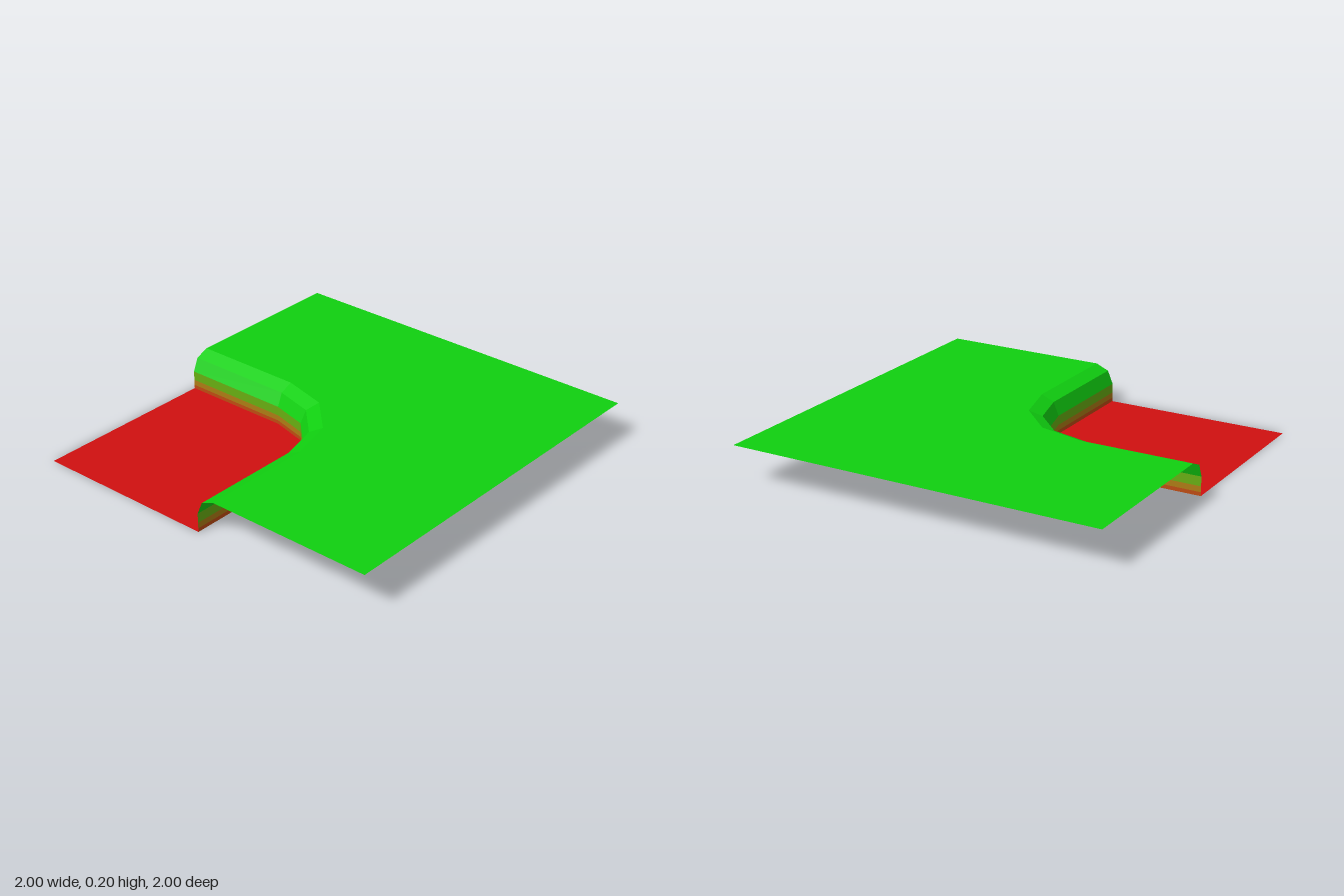
import * as THREE from 'three';

const flat = (name, color) =>
  new THREE.MeshStandardMaterial({ name, color, side: THREE.DoubleSide });

// Rounded corner line of the bank, moved outward by d: [x, z] points
function outline(d) {
  const points = [[-1, -d]];
  for (let i = 0; i <= 3; i++) {
    const a = (i * Math.PI) / 6, r = 0.4 + d;
    points.push([-0.4 + r * Math.sin(a), 0.4 - r * Math.cos(a)]);
  }
  points.push([d, 1]);
  return points;
}

// Level sheet bounded by [x, z] points
function sheet(points, y) {
  const shape = new THREE.Shape(points.map(([x, z]) => new THREE.Vector2(x, -z)));
  return new THREE.ShapeGeometry(shape).rotateX(-Math.PI / 2).translate(0, y, 0);
}

// Faceted strip along the bank between two profile points [offset, height]
function strip([d0, y0], [d1, y1]) {
  const low = outline(d0).map(([x, z]) => [x, y0, z]);
  const high = outline(d1).map(([x, z]) => [x, y1, z]);
  const positions = [];
  for (let i = 0; i < low.length - 1; i++) {
    positions.push(...low[i], ...low[i + 1], ...high[i + 1]);
    positions.push(...low[i], ...high[i + 1], ...high[i]);
  }
  const geometry = new THREE.BufferGeometry();
  geometry.setAttribute('position', new THREE.Float32BufferAttribute(positions, 3));
  geometry.computeVertexNormals();
  return geometry;
}

export function createModel() {
  const group = new THREE.Group();
  const red = flat('red', 0xd01010);
  const rust = flat('rust', 0xbe4c12);
  const ochre = flat('ochre', 0xae7c14);
  const olive = flat('olive', 0x68ae12);
  const green = flat('green', 0x10d010);

  const add = (name, geometry, material) => {
    const mesh = new THREE.Mesh(geometry, material);
    mesh.name = name;
    group.add(mesh);
  };

  // Low floor and high ground
  add('lowerFloor', sheet([...outline(0), [-1, 1]], 0), red);
  add('upperGround', sheet([...outline(0.1), [1, 1], [1, -1], [-1, -1]], 0.2), green);

  // Banded wall, then the two bevels of the lip
  add('wallBase', strip([0, 0], [0, 0.02]), rust);
  add('wallMiddle', strip([0, 0.02], [0, 0.05]), ochre);
  add('wallTop', strip([0, 0.05], [0, 0.1]), olive);
  add('steepBevel', strip([0, 0.1], [0.03, 0.17]), green);
  add('shallowBevel', strip([0.03, 0.17], [0.1, 0.2]), green);
  return group;
}
